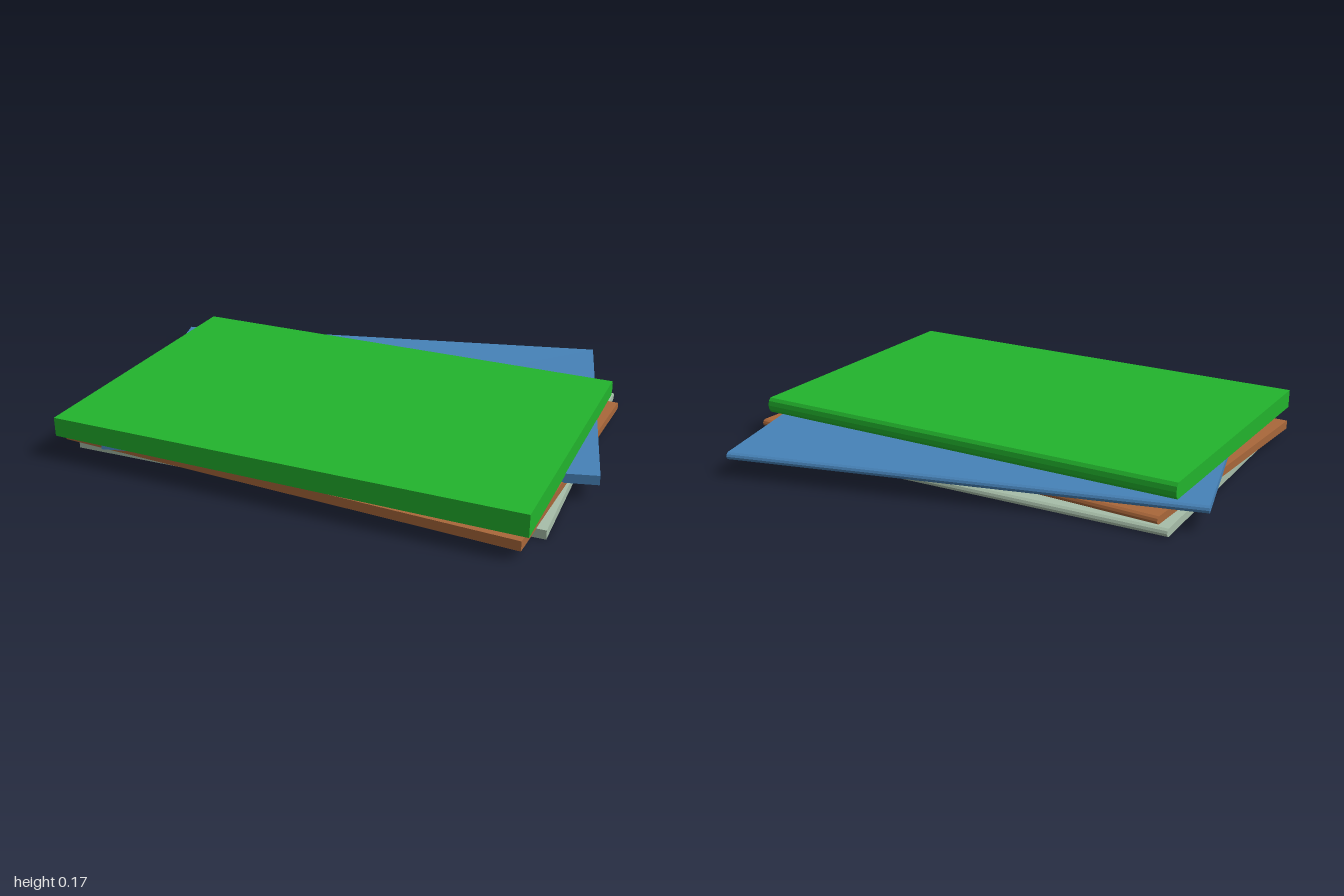
import * as THREE from 'three';

const mat = (name, color) => {
  const m = new THREE.MeshStandardMaterial({ color });
  m.name = name;
  return m;
};

// One closed booklet: flat front edge, rounded spine at the back.
// y0 = underside, back = top at the spine, left/right = top at the two front corners.
function booklet(name, material, { w, d, y0, back, left, right, x = 0, z, turn }) {
  const front = d / 2, rear = -d / 2, bulge = Math.min(0.014, (back - y0) * 0.45);
  const h = back - y0;
  const profile = new THREE.Shape([
    [front, 0], [front, left - y0], [rear + bulge, h],
    [rear + bulge * 0.3, h * 0.8], [rear, h * 0.5],
    [rear + bulge * 0.3, h * 0.2], [rear + bulge, 0],
  ].map(([u, v]) => new THREE.Vector2(u, v)));
  let geo = new THREE.ExtrudeGeometry(profile, { depth: w, bevelEnabled: false });
  geo.rotateY(-Math.PI / 2).translate(w / 2, 0, 0);

  // Lift the front right corner a little, as the cover springs open
  const p = geo.attributes.position;
  for (let i = 0; i < p.count; i++) {
    if (p.getZ(i) > 0 && p.getY(i) > 0.005 && p.getX(i) > 0) p.setY(i, right - y0);
  }
  geo.computeVertexNormals();

  const mesh = new THREE.Mesh(geo, material);
  mesh.name = name;
  mesh.position.set(x, y0, z);
  mesh.rotation.y = turn;
  return mesh;
}

export function createModel() {
  const group = new THREE.Group();
  group.name = 'bookletStack';
  group.add(
    booklet('bottomBooklet', mat('sage', 0xa7bea9),
      { w: 1.761, d: 1.15, y0: 0, back: 0.03, left: 0.032, right: 0.034, z: 0.082, turn: 0.032 }),
    booklet('lowerBooklet', mat('brown', 0xa9673a),
      { w: 1.767, d: 1.152, y0: 0.031, back: 0.06, left: 0.064, right: 0.068, z: 0.162, turn: -0.045 }),
    booklet('upperBooklet', mat('blue', 0x4682b8),
      { w: 1.757, d: 1.15, y0: 0.062, back: 0.09, left: 0.089, right: 0.098, z: -0.015, turn: 0.255 }),
    booklet('topBooklet', mat('green', 0x22b42d),
      { w: 1.764, d: 1.15, y0: 0.092, back: 0.152, left: 0.164, right: 0.174, z: 0.212, turn: 0 }),
  );
  return group;
}
